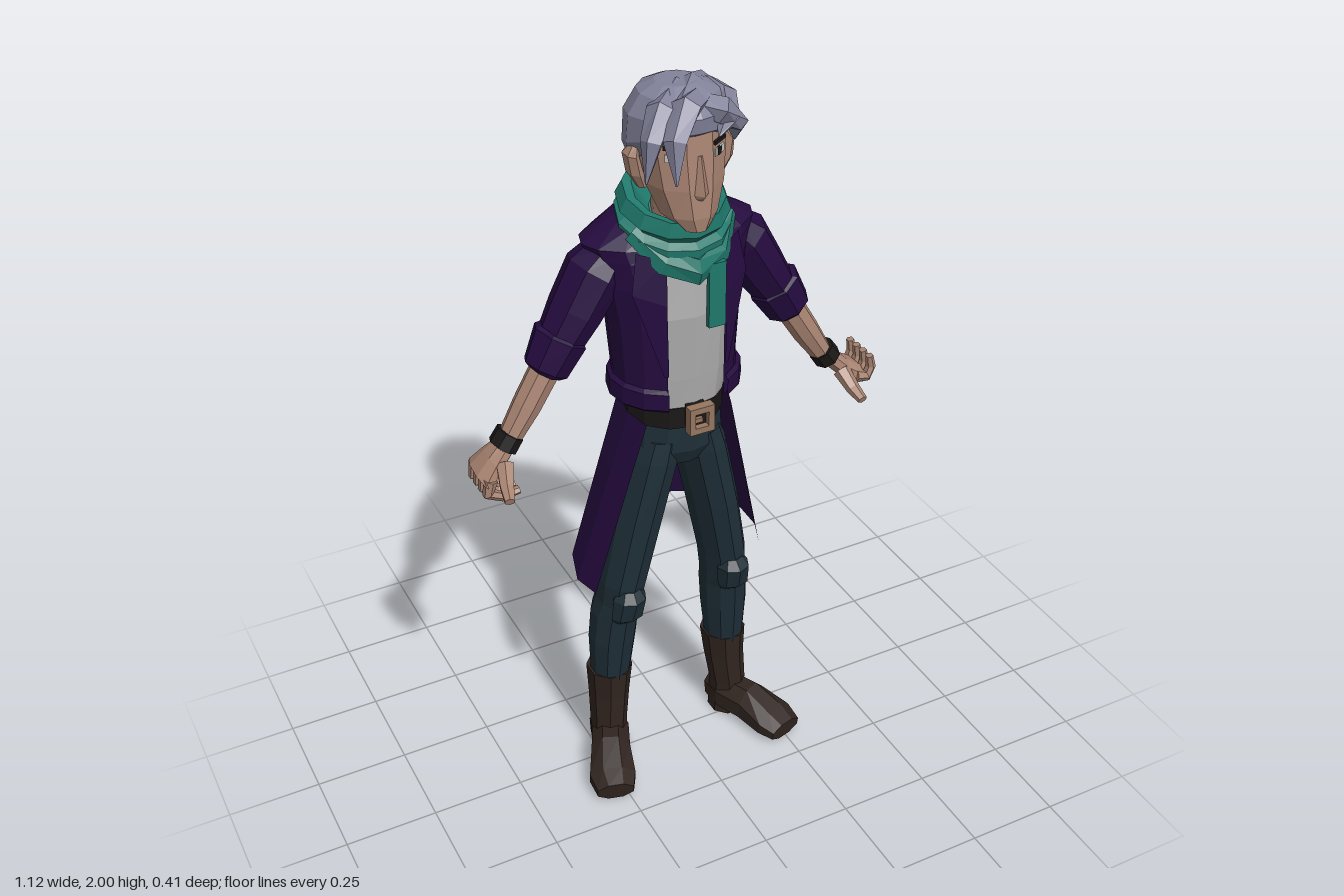
import * as THREE from 'three';

const mat = (name, color, side = THREE.FrontSide) => {
  const m = new THREE.MeshStandardMaterial({ color, side });
  m.name = name;
  return m;
};
const V = (x, y, z) => new THREE.Vector3(x, y, z);
const Y = V(0, 1, 0), Z = V(0, 0, 1);

// Faceted skin over rows of points; closed rows get end caps and face outward
function surface(rows, closed) {
  const tris = [], n = rows[0].length;
  for (let j = 0; j < rows.length - 1; j++) {
    for (let i = 0; i < (closed ? n : n - 1); i++) {
      const k = (i + 1) % n, a = rows[j], b = rows[j + 1];
      tris.push([a[i], a[k], b[k]], [a[i], b[k], b[i]]);
    }
  }
  if (closed) {
    const cap = (row, top) => {
      const c = row.reduce((s, p) => s.add(p), V(0, 0, 0)).divideScalar(n);
      row.forEach((p, i) => {
        const q = row[(i + 1) % n];
        tris.push(top ? [c, p, q] : [c, q, p]);
      });
    };
    cap(rows[0], false);
    cap(rows[rows.length - 1], true);
    const volume = tris.reduce((s, [a, b, c]) => s + a.dot(b.clone().cross(c)), 0);
    if (volume < 0) tris.forEach((t) => t.reverse());
  }
  const g = new THREE.BufferGeometry().setFromPoints(tris.flat());
  g.computeVertexNormals();
  return g;
}

// Loft along stations [x, y, z, radiusU, radiusV, tilt]. flat keeps rings level,
// gap leaves an opening of that half width at the front.
function loft(stations, { n = 8, flat = false, ref = Z, rot = 0, gap = 0, floor = false } = {}) {
  const pts = stations.map((s) => V(s[0], s[1], s[2]));
  const rows = stations.map(([, , , ru, rv, tilt = 0], j) => {
    const t = flat ? Y.clone()
      : pts[Math.min(j + 1, pts.length - 1)].clone().sub(pts[Math.max(j - 1, 0)]).normalize();
    const u = t.clone().cross(ref).normalize(), v = u.clone().cross(t);
    const start = gap ? Math.asin(Math.min(0.95, gap / ru)) : rot;
    const span = gap ? 2 * Math.PI - 2 * start : 2 * Math.PI;
    return Array.from({ length: gap ? n + 1 : n }, (_, i) => {
      const a = start + (span * i) / n;
      const p = pts[j].clone().addScaledVector(u, ru * Math.sin(a)).addScaledVector(v, rv * Math.cos(a));
      p.y += tilt * Math.cos(a);
      if (floor) p.y = Math.max(0, p.y);
      return p;
    });
  });
  return surface(rows, !gap);
}

export function createModel() {
  const skin = mat('skin', 0xa98472), hair = mat('hair', 0x82829a), teal = mat('scarf teal', 0x1f786b);
  const purple = mat('coat purple', 0x250b3f, THREE.DoubleSide), grey = mat('shirt grey', 0xaaaaaa);
  const pants = mat('trouser slate', 0x1f2f38), boot = mat('boot brown', 0x30241f);
  const dark = mat('dark leather', 0x1b1717), tan = mat('buckle tan', 0x96765f), white = mat('eye white', 0xc8c4c0);

  const root = new THREE.Group(), body = new THREE.Group();
  root.name = 'standingFigure';
  body.name = 'body';
  body.position.x = -0.022;
  root.add(body);
  const add = (name, geometry, material, parent = body) => {
    const m = new THREE.Mesh(geometry, material);
    m.name = name;
    parent.add(m);
    return m;
  };
  const box = (name, w, h, d, x, y, z, m, ry = 0) => {
    const b = add(name, new THREE.BoxGeometry(w, h, d), m);
    b.position.set(x, y, z);
    b.rotation.y = ry;
    return b;
  };
  const side = (s, list) => list.map(([x, ...r]) => [s * x, ...r]);
  const level = { n: 12, flat: true };

  // Head, neck, nose
  add('neck', loft([[0, 1.58, 0, 0.055, 0.055], [0, 1.73, 0.02, 0.055, 0.06]], level), skin);
  add('head', loft([[0, 1.655, 0.105, 0.035, 0.045], [0, 1.69, 0.075, 0.07, 0.08], [0, 1.76, 0.052, 0.096, 0.1],
    [0, 1.84, 0.037, 0.107, 0.108], [0, 1.92, 0.035, 0.1, 0.104], [0, 1.965, 0.035, 0.06, 0.07]],
  { n: 10, flat: true, rot: Math.PI / 10 }), skin);
  add('nose', loft([[0, 1.735, 0.14, 0.018, 0.012], [0, 1.75, 0.143, 0.022, 0.025], [0, 1.84, 0.135, 0.01, 0.01]],
    { n: 4, flat: true }), skin);
  box('mouth', 0.05, 0.006, 0.006, 0, 1.705, 0.146, dark);
  for (const s of [-1, 1]) {
    add('ear', loft(side(s, [[0.1, 1.75, 0.045, 0.012, 0.015], [0.115, 1.785, 0.04, 0.018, 0.03],
      [0.123, 1.83, 0.035, 0.016, 0.032], [0.112, 1.85, 0.035, 0.01, 0.015]]), { n: 6, flat: true }), skin);
    box('eye', 0.042, 0.018, 0.006, s * 0.057, 1.838, 0.123, white, s * 0.6);
    box('pupil', 0.015, 0.018, 0.008, s * 0.054, 1.838, 0.126, dark, s * 0.6);
    box('eyebrow', 0.05, 0.009, 0.009, s * 0.057, 1.862, 0.122, dark, s * 0.6);
  }

  // Hair cap and swept locks
  add('hairCap', loft([[0, 1.8, 0.025, 0.1, 0.1, 0.08], [0, 1.855, 0.028, 0.13, 0.118, 0.04],
    [0, 1.92, 0.03, 0.125, 0.12, 0.01], [0, 1.965, 0.03, 0.095, 0.095], [-0.005, 1.985, 0.03, 0.05, 0.05]], level), hair);
  const locks = [
    [[0.05, 1.95, 0.06], [-0.03, 1.955, 0.13], [-0.08, 1.9, 0.175], [-0.09, 1.81, 0.2]],
    [[0, 1.965, 0.03], [-0.075, 1.945, 0.1], [-0.115, 1.89, 0.13], [-0.135, 1.8, 0.14]],
    [[0, 1.95, 0.08], [0.06, 1.935, 0.13], [0.108, 1.89, 0.11], [0.12, 1.835, 0.08]],
    [[0.09, 1.94, -0.03], [0.03, 1.965, 0.04], [-0.04, 1.95, 0.12], [-0.06, 1.89, 0.165]],
    [[0.08, 1.95, 0.02], [0.09, 1.94, 0.07], [0.075, 1.91, 0.13], [0.04, 1.885, 0.155]],
  ];
  const girth = [0.03, 0.037, 0.028, 0.003];
  for (const path of locks) {
    add('hairLock', loft(path.map((p, i) => [...p, girth[i], girth[i] * 0.85]), { n: 5, ref: Y }), hair);
  }

  // Scarf: two stacked folds, a drooping front fold and a hanging end
  add('scarf', loft([[0, 1.585, 0, 0.1, 0.1, -0.04], [0, 1.605, 0.005, 0.14, 0.128, -0.045],
    [0, 1.648, 0.005, 0.142, 0.132, -0.045], [0, 1.662, 0.005, 0.122, 0.115, -0.045],
    [0, 1.675, 0.005, 0.138, 0.132, -0.04], [0, 1.708, 0.01, 0.122, 0.125, -0.035],
    [0, 1.706, 0.01, 0.1, 0.1, -0.035], [0, 1.65, 0.01, 0.06, 0.06, -0.03]], level), teal);
  add('scarfFrontFold', loft([[-0.125, 1.635, 0.04, 0.025, 0.02], [-0.07, 1.575, 0.105, 0.035, 0.022],
    [0, 1.548, 0.13, 0.038, 0.022], [0.07, 1.575, 0.105, 0.035, 0.022], [0.125, 1.635, 0.04, 0.025, 0.02]], { n: 6 }), teal);
  box('scarfEnd', 0.045, 0.17, 0.014, 0.05, 1.475, 0.132, teal);

  // Shirt and open jacket
  add('shirt', loft([[0, 1.15, 0, 0.125, 0.118], [0, 1.25, 0, 0.145, 0.122], [0, 1.42, 0, 0.155, 0.125],
    [0, 1.55, -0.015, 0.16, 0.118], [0, 1.62, -0.02, 0.1, 0.09]], level), grey);
  add('jacket', loft([[0, 1.185, 0.005, 0.162, 0.14], [0, 1.25, 0.003, 0.16, 0.14], [0, 1.4, -0.002, 0.172, 0.143],
    [0, 1.5, -0.012, 0.19, 0.14], [0, 1.57, -0.022, 0.21, 0.132], [0, 1.6, -0.027, 0.226, 0.122],
    [0, 1.64, -0.035, 0.15, 0.1], [0, 1.675, -0.025, 0.085, 0.075]], { n: 14, flat: true, gap: 0.076 }), purple);
  add('jacketHem', loft([[0, 1.18, 0.007, 0.165, 0.145], [0, 1.188, 0.007, 0.174, 0.151],
    [0, 1.232, 0.007, 0.172, 0.151], [0, 1.24, 0.007, 0.16, 0.14]], { n: 14, flat: true, gap: 0.08 }), purple);
  for (const s of [-1, 1]) {
    add('lapel', surface([[V(s * 0.07, 1.58, 0.112), V(s * 0.135, 1.6, 0.08)],
      [V(s * 0.078, 1.47, 0.128), V(s * 0.152, 1.5, 0.092)], [V(s * 0.077, 1.28, 0.134), V(s * 0.087, 1.28, 0.13)]], false), purple);
  }

  // Belt with buckle and rear loops
  add('belt', loft([[0, 1.11, 0, 0.126, 0.122], [0, 1.168, 0, 0.125, 0.122]], level), dark);
  const frame = new THREE.Shape([[-0.034, -0.037], [0.034, -0.037], [0.034, 0.037], [-0.034, 0.037]].map((p) => new THREE.Vector2(...p)));
  frame.holes.push(new THREE.Path([[-0.018, -0.02], [-0.018, 0.02], [0.018, 0.02], [0.018, -0.02]].map((p) => new THREE.Vector2(...p))));
  add('buckle', new THREE.ExtrudeGeometry(frame, { depth: 0.025, bevelEnabled: false }), tan).position.set(0, 1.15, 0.137);
  box('bucklePlate', 0.05, 0.058, 0.03, 0, 1.15, 0.13, dark);
  box('bucklePin', 0.022, 0.012, 0.01, -0.008, 1.15, 0.153, tan);
  for (const x of [-0.06, 0.06]) box('beltLoop', 0.022, 0.07, 0.02, x, 1.14, -0.112, dark);

  // Coat skirt: each half flares from the belt, split at the back
  const waist = [[0.118, 1.13, 0.092], [0.138, 1.14, 0.03], [0.13, 1.15, -0.05], [0.08, 1.155, -0.098], [0, 1.155, -0.122]];
  const hem = [[0.245, 0.61, 0.035], [0.268, 0.62, -0.03], [0.25, 0.65, -0.1], [0.17, 0.68, -0.165], [0.038, 0.69, -0.208]];
  for (const s of [-1, 1]) {
    const rows = [0, 0.33, 0.66, 1].map((t) => waist.map((w, i) => {
      const p = V(...w).lerp(V(...hem[i]), t);
      if (i === 4) p.x = Math.max(0, (t - 0.33) * 0.057);
      p.x *= s;
      return p;
    }));
    add('coatSkirt', surface(rows, false), purple);
  }

  // Trousers and boots
  add('hips', loft([[0, 0.985, 0.005, 0.09, 0.085], [0, 1.03, 0.005, 0.128, 0.105], [0, 1.13, 0, 0.12, 0.112]], level), pants);
  for (const s of [-1, 1]) {
    add('trouserLeg', loft(side(s, [[0.178, 0.27, -0.035, 0.054, 0.056], [0.172, 0.4, -0.03, 0.064, 0.069],
      [0.165, 0.49, -0.025, 0.064, 0.075], [0.157, 0.54, -0.015, 0.06, 0.076], [0.15, 0.61, -0.008, 0.063, 0.083],
      [0.113, 0.8, 0, 0.067, 0.092], [0.068, 1.0, 0.006, 0.068, 0.098], [0.055, 1.06, 0.006, 0.06, 0.095]]), { n: 10, flat: true }), pants);
    add('kneePatch', loft(side(s, [[0.162, 0.49, 0.035, 0.03, 0.015], [0.16, 0.515, 0.045, 0.046, 0.034],
      [0.155, 0.58, 0.05, 0.046, 0.047], [0.153, 0.605, 0.045, 0.03, 0.03]]), { n: 8, flat: true }), pants);
    add('bootShaft', loft(side(s, [[0.187, 0, -0.03, 0.052, 0.055], [0.19, 0.1, -0.03, 0.05, 0.057],
      [0.182, 0.2, -0.04, 0.056, 0.062], [0.178, 0.285, -0.042, 0.063, 0.068]]), { n: 8, flat: true, rot: Math.PI / 8 }), boot);
    add('bootFoot', loft(side(s, [[0.183, 0.04, -0.08, 0.045, 0.05], [0.19, 0.05, -0.02, 0.056, 0.062],
      [0.222, 0.05, 0.05, 0.058, 0.062], [0.255, 0.035, 0.13, 0.068, 0.042], [0.268, 0.028, 0.178, 0.054, 0.03]]),
    { n: 8, ref: Y, rot: Math.PI / 8, floor: true }), boot);
  }

  // Sleeves, forearms, wristbands
  for (const s of [-1, 1]) {
    add('sleeve', loft(side(s, [[0.15, 1.575, -0.025, 0.05, 0.06], [0.195, 1.525, -0.022, 0.075, 0.078],
      [0.25, 1.435, -0.02, 0.068, 0.074], [0.305, 1.35, -0.015, 0.056, 0.06]])), purple);
    add('rolledCuff', loft(side(s, [[0.287, 1.385, -0.015, 0.058, 0.06], [0.292, 1.376, -0.015, 0.07, 0.07],
      [0.335, 1.302, -0.01, 0.06, 0.056], [0.34, 1.294, -0.01, 0.045, 0.045]])), purple);
    add('forearm', loft(side(s, [[0.325, 1.32, -0.01, 0.04, 0.038], [0.39, 1.215, -0.008, 0.037, 0.037],
      [0.458, 1.11, -0.006, 0.026, 0.03]])), skin);
    add('wristband', loft(side(s, [[0.437, 1.15, -0.007, 0.036, 0.039], [0.46, 1.117, -0.006, 0.037, 0.04]])), dark);
  }

  // Hands: palm, four curled fingers and a thumb on each
  const hands = [
    { name: 'leftHand', palm: [[0.44, 1.12], [0.478, 1.083], [0.52, 1.055]],
      finger: [[0.505, 1.06], [0.54, 1.052], [0.552, 1.078], [0.545, 1.112]],
      thumb: [[0.465, 1.085, 0.025], [0.475, 1.05, 0.07], [0.48, 1.035, 0.11]] },
    { name: 'rightHand', palm: [[-0.47, 1.12], [-0.505, 1.085], [-0.54, 1.045]],
      finger: [[-0.532, 1.055], [-0.54, 1.018], [-0.505, 1.0], [-0.46, 1.006]],
      thumb: [[-0.49, 1.085, 0.025], [-0.505, 1.05, 0.07], [-0.515, 1.035, 0.11]] },
  ];
  for (const { name, palm, finger, thumb } of hands) {
    const g = new THREE.Group();
    g.name = name;
    root.add(g);
    add('palm', loft(palm.map(([x, y], i) => [x, y, -0.01 - i * 0.004, 0.025, 0.032 + i * 0.018]), { n: 8, rot: Math.PI / 8 }), skin, g);
    for (const z of [0.032, 0, -0.032, -0.063]) {
      add('finger', loft(finger.map(([x, y], i) => [x, y, z, 0.019 - i * 0.003, 0.018 - i * 0.002]), { n: 6 }), skin, g);
    }
    add('thumb', loft(thumb.map((p, i) => [...p, 0.024 - i * 0.005, 0.022 - i * 0.005]), { n: 6, ref: Y }), skin, g);
  }
  return root;
}
